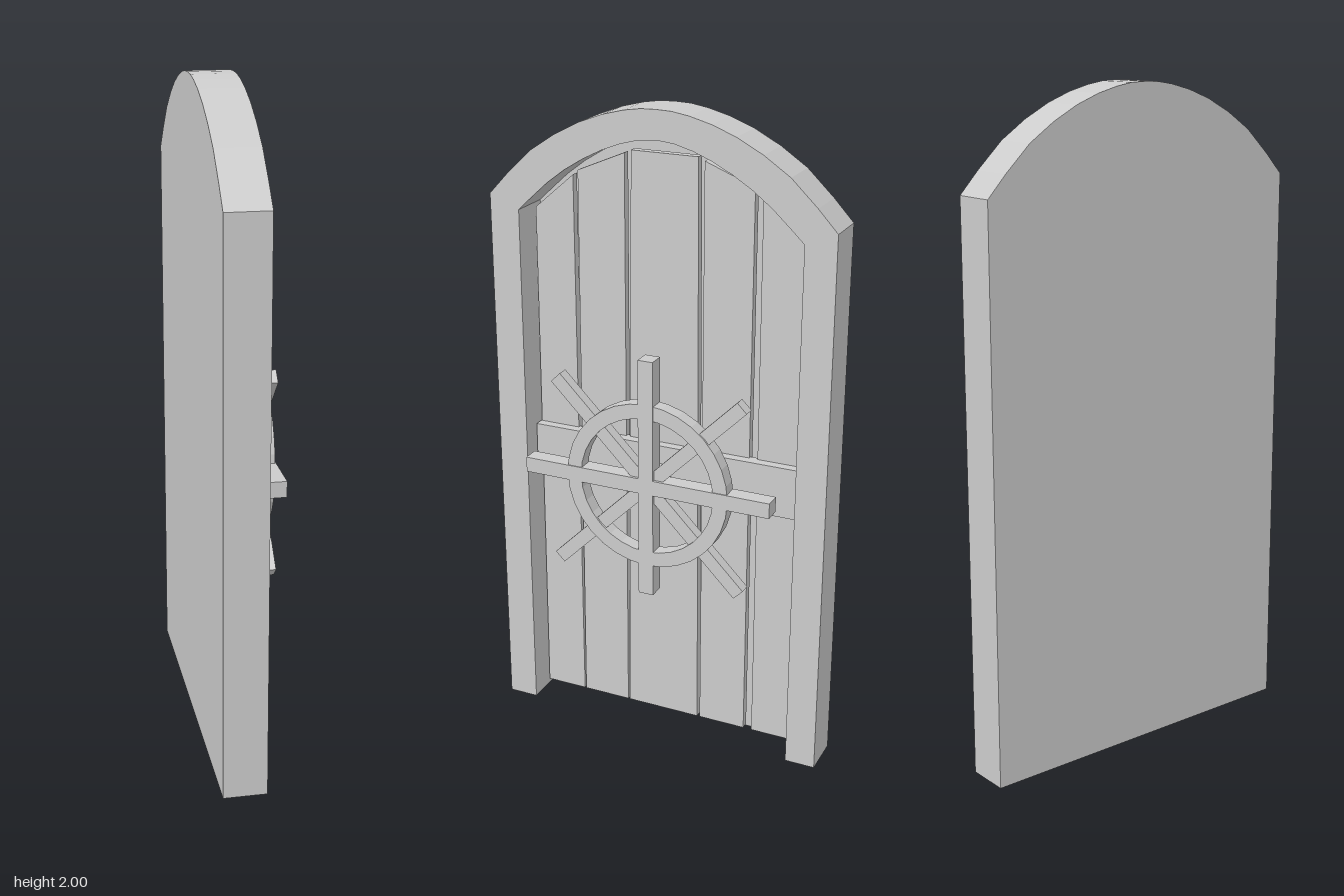
import * as THREE from 'three';

const grey = new THREE.MeshStandardMaterial({ color: 0xcccccc, flatShading: true, side: THREE.DoubleSide });
const WHEEL_Y = 0.89;

const v = (x, y) => new THREE.Vector2(x, y);

// Mirrored arch line running from the left spring point over the top to the right
function arch(half) {
  const right = half.map(([x, y]) => v(x, y));
  const left = right.slice(1).reverse().map(p => v(-p.x, p.y));
  return new THREE.SplineCurve([...left.reverse(), ...[]].reverse().concat(right).sort((a, b) => a.x - b.x)).getPoints(16);
}

// Extrude a door-plane shape (x across, y up) from depth x0 to x1; the door faces +x
function slab(name, shape, x0, x1) {
  const geo = new THREE.ExtrudeGeometry(shape, { depth: x1 - x0, bevelEnabled: false, curveSegments: 16 });
  geo.rotateY(Math.PI / 2).translate(x0, 0, 0);
  const mesh = new THREE.Mesh(geo, grey);
  mesh.name = name;
  return mesh;
}

// Box given by its limits in depth, height and width
function box(name, x0, x1, y0, y1, z0, z1) {
  const mesh = new THREE.Mesh(new THREE.BoxGeometry(x1 - x0, y1 - y0, z1 - z0), grey);
  mesh.position.set((x0 + x1) / 2, (y0 + y1) / 2, (z0 + z1) / 2);
  mesh.name = name;
  return mesh;
}

export function createModel() {
  const door = new THREE.Group();
  door.name = 'archedDoor';

  // Arched frame, open at the threshold
  const outer = arch([[0, 2], [0.1, 1.99], [0.24, 1.945], [0.4, 1.85], [0.54, 1.71]]);
  const inner = arch([[0, 1.915], [0.15, 1.88], [0.31, 1.79], [0.445, 1.67]]);
  const frameShape = new THREE.Shape([
    v(-0.54, 0), ...outer, v(0.54, 0),
    v(0.445, 0), ...inner.slice().reverse(), v(-0.445, 0),
  ]);
  door.add(slab('frame', frameShape, -0.105, 0.026));

  // Thin sheet closing the back
  const backGeo = new THREE.ShapeGeometry(new THREE.Shape([v(-0.445, 0), ...inner, v(0.445, 0)]));
  backGeo.rotateY(Math.PI / 2).translate(-0.105, 0, 0);
  const back = new THREE.Mesh(backGeo, grey);
  back.name = 'backSheet';
  door.add(back);

  // Planks with tops cut to follow the arch: bottom left/right, top left/right, top heights
  const planks = new THREE.Group();
  planks.name = 'planks';
  const cuts = [
    [-0.44, -0.305, -0.435, -0.308, 1.66, 1.77],
    [-0.3, -0.143, -0.292, -0.14, 1.785, 1.85],
    [-0.138, 0.106, -0.119, 0.092, 1.86, 1.86],
    [0.115, 0.268, 0.111, 0.265, 1.85, 1.79],
    [0.296, 0.436, 0.29, 0.444, 1.77, 1.66],
  ];
  cuts.forEach(([bl, br, tl, tr, hl, hr]) => planks.add(
    slab('plank', new THREE.Shape([v(bl, 0.02), v(br, 0.02), v(tr, hr), v(tl, hl)]), -0.085, -0.06)));
  door.add(planks);

  // Crossbar and the axle carrying the wheel
  door.add(box('crossbar', -0.07, -0.03, 0.81, 0.97, -0.44, 0.44));
  door.add(box('axle', -0.04, 0.06, 0.868, 0.912, -0.024, 0.024));

  // Spoked hand wheel
  const wheel = new THREE.Group();
  wheel.name = 'handWheel';
  const ring = new THREE.Shape().absarc(0, 0, 0.263, 0, Math.PI * 2);
  ring.holes.push(new THREE.Path().absarc(0, 0, 0.217, 0, Math.PI * 2, true));
  wheel.add(slab('rim', ring, 0.054, 0.1));
  wheel.add(box('verticalSpoke', 0.05, 0.103, -0.36, 0.4, -0.024, 0.024));
  wheel.add(box('horizontalSpoke', 0.05, 0.103, -0.024, 0.024, -0.395, 0.405));
  for (const side of [-1, 1]) {
    const spoke = box('diagonalSpoke', 0.058, 0.094, -0.43, 0.42, -0.021, 0.021);
    spoke.position.y = 0;
    spoke.rotation.x = side * Math.PI / 4;
    wheel.add(spoke);
  }
  wheel.position.y = WHEEL_Y;
  door.add(wheel);

  return door;
}
